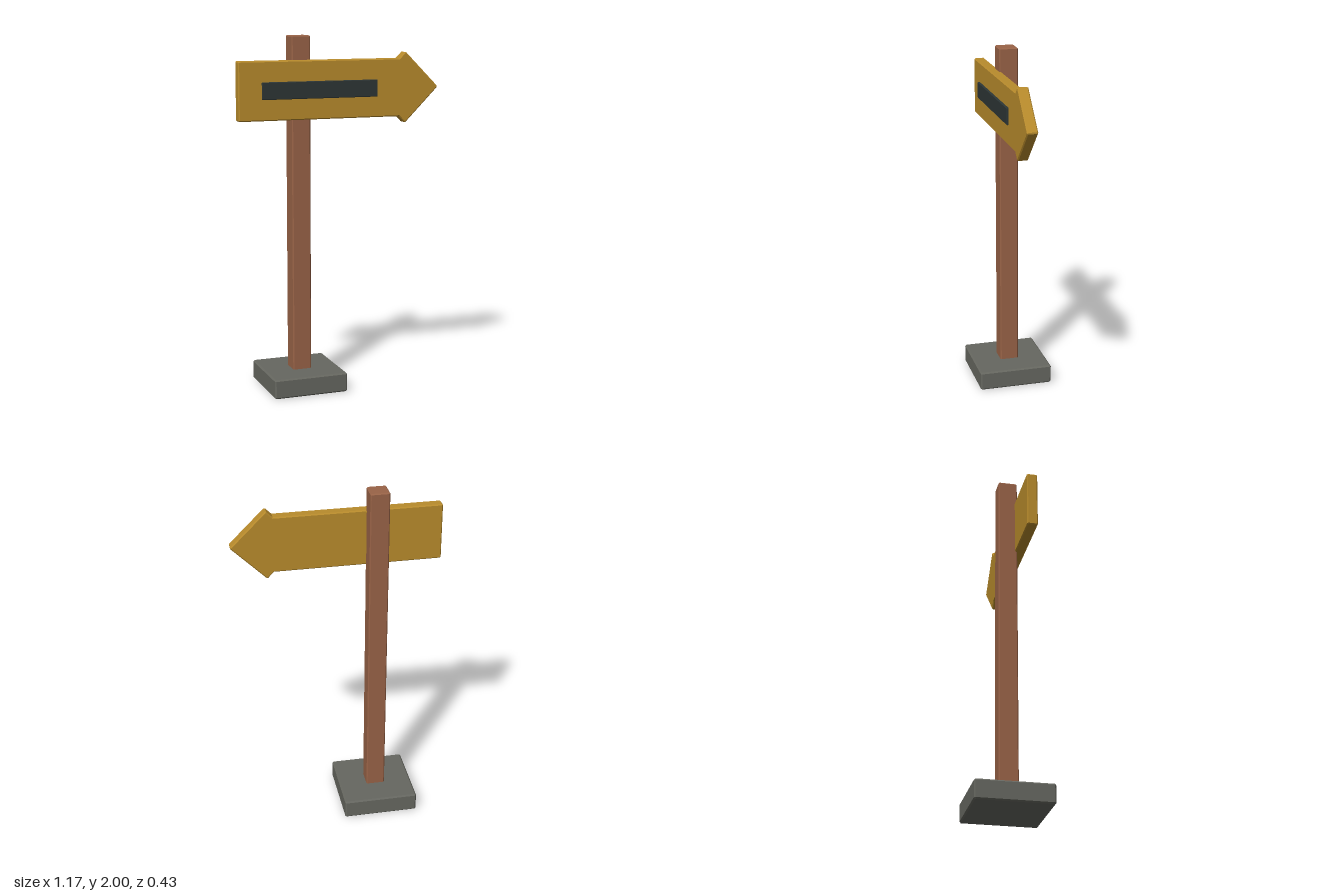
import * as THREE from 'three';
import { ConvexGeometry } from 'three/addons/geometries/ConvexGeometry.js';

// Box with flat chamfers of width b on every edge
function chamferBox(w, h, d, b) {
  const points = [];
  for (const sx of [-1, 1]) for (const sy of [-1, 1]) for (const sz of [-1, 1]) {
    const x = w / 2, y = h / 2, z = d / 2;
    points.push(
      new THREE.Vector3(sx * x, sy * (y - b), sz * (z - b)),
      new THREE.Vector3(sx * (x - b), sy * y, sz * (z - b)),
      new THREE.Vector3(sx * (x - b), sy * (y - b), sz * z));
  }
  return new ConvexGeometry(points);
}

function material(name, color) {
  const m = new THREE.MeshStandardMaterial({ color });
  m.name = name;
  return m;
}

export function createModel() {
  const group = new THREE.Group();
  group.name = 'signpost';
  const stone = material('grey stone', 0x666760);
  const wood = material('brown wood', 0x996347);
  const yellow = material('ochre paint', 0xb88b2c);
  const dark = material('dark slate', 0x2d3636);

  const add = (name, size, bevel, position, mat) => {
    const mesh = new THREE.Mesh(chamferBox(...size, bevel), mat);
    mesh.name = name;
    mesh.position.set(...position);
    group.add(mesh);
    return mesh;
  };

  // Foot and upright
  add('base', [0.43, 0.11, 0.43], 0.008, [-0.214, 0.055, 0], stone);
  add('post', [0.108, 1.92, 0.108], 0.006, [-0.214, 1.04, 0], wood);

  // Sign board with a square turned on its corner as the arrowhead
  add('board', [0.98, 0.325, 0.06], 0.006, [-0.096, 1.705, 0.07], yellow);
  const head = add('arrowHead', [0.284, 0.284, 0.06], 0.006, [0.39, 1.705, 0.07], yellow);
  head.rotation.z = Math.PI / 4;

  // Dark inset strip on the front of the board
  add('signStrip', [0.672, 0.095, 0.016], 0.003, [-0.119, 1.706, 0.104], dark);

  return group;
}
